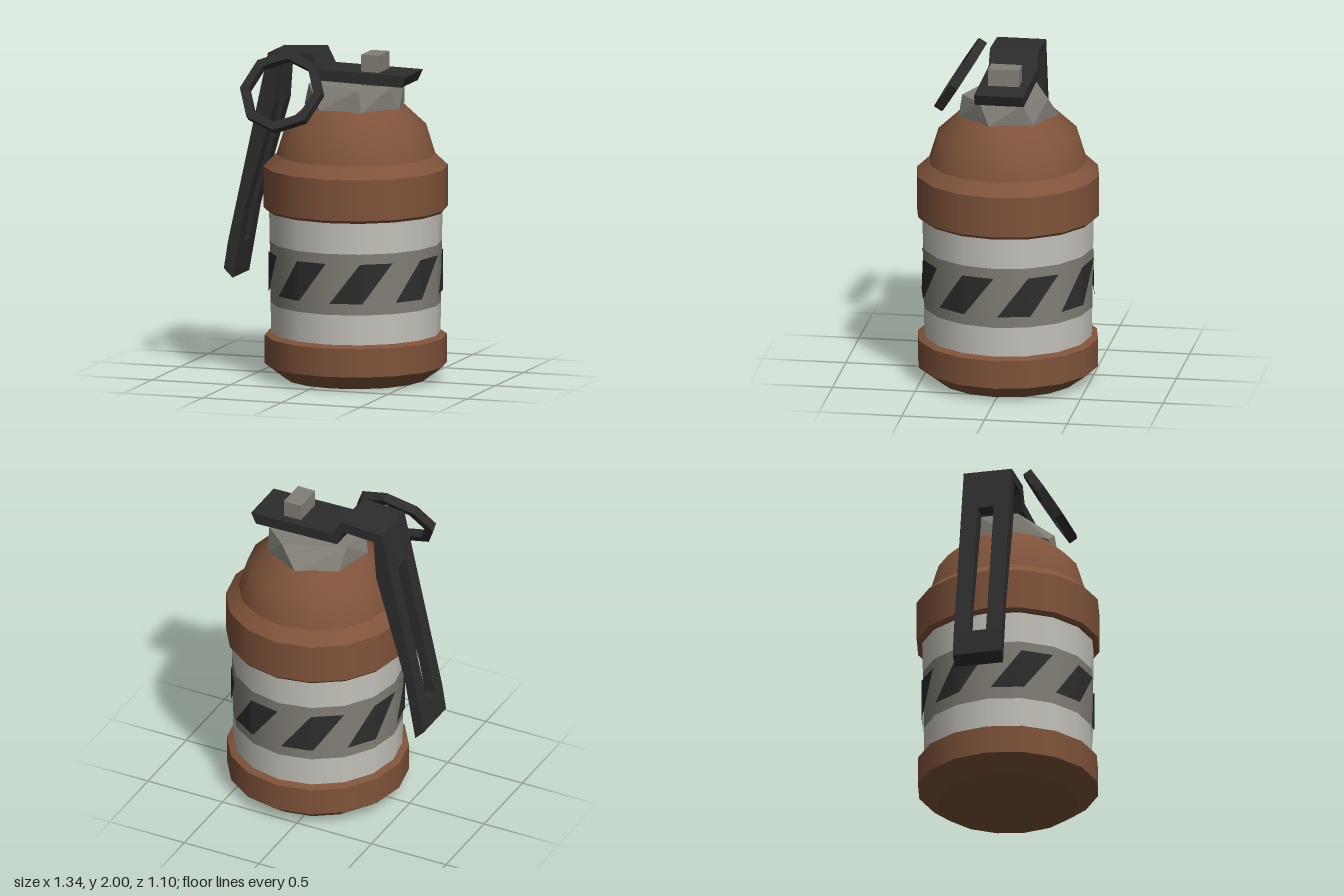
import * as THREE from 'three';
import { mergeGeometries } from 'three/addons/utils/BufferGeometryUtils.js';
import { ConvexGeometry } from 'three/addons/geometries/ConvexGeometry.js';

const SIDES = 16;
const CX = 0.115; // axis of the canister

function material(name, color, side = THREE.FrontSide) {
  const m = new THREE.MeshStandardMaterial({ color, side });
  m.name = name;
  return m;
}

// Lathe from several profiles; normals are smooth within each, sharp between them
function turned(profiles) {
  return mergeGeometries(profiles.map(p =>
    new THREE.LatheGeometry(p.map(([r, y]) => new THREE.Vector2(r, y)), SIDES)));
}

// Splits a profile into separate hard-edged bands
const bands = pts => pts.slice(1).map((p, i) => [pts[i], p]);

// Side profile extruded between two z values
function slab(points, z0, z1) {
  const shape = new THREE.Shape(points.map(([x, y]) => new THREE.Vector2(x, y)));
  return new THREE.ExtrudeGeometry(shape, { depth: z1 - z0, bevelEnabled: false }).translate(0, 0, z0);
}

// Slanted stripe lying on the many-sided wall
function stripe(start) {
  const cols = 24, width = 22, shift = 20.5, y0 = 0.53, y1 = 0.77, rows = 8;
  const g = new THREE.PlaneGeometry(1, 1, cols, rows);
  const pos = g.attributes.position, step = 360 / SIDES;
  const rad = THREE.MathUtils.degToRad;
  for (let i = 0; i < pos.count; i++) {
    const u = pos.getX(i) + 0.5, v = pos.getY(i) + 0.5;
    const deg = start + u * width + v * shift;
    const local = (((deg % step) + step) % step) - step / 2;
    const r = 0.519 * Math.cos(rad(step / 2)) / Math.cos(rad(local)) + 0.004;
    pos.setXYZ(i, r * Math.sin(rad(deg)), y0 + v * (y1 - y0), r * Math.cos(rad(deg)));
  }
  g.computeVertexNormals();
  return g;
}

export function createModel() {
  const group = new THREE.Group();
  const brown = material('brown casing', 0x7f533a);
  const pale = material('pale wall', 0xc4c2ba);
  const grey = material('grey metal', 0x827f76);
  const dark = material('dark metal', 0x2d2d2d);
  const paint = material('dark paint', 0x2d2d2d, THREE.DoubleSide);

  function add(name, geometry, mat, x = 0, y = 0, z = 0) {
    const mesh = new THREE.Mesh(geometry, mat);
    mesh.name = name;
    mesh.position.set(x, y, z);
    group.add(mesh);
    return mesh;
  }

  // Canister
  add('baseCup', turned(bands([[0, 0], [0.425, 0], [0.545, 0.09], [0.545, 0.262], [0.5, 0.282]])), brown, CX);
  add('lowerWall', turned([[[0.506, 0.27], [0.51, 0.46]]]), pale, CX);
  add('paintedBand', turned([[[0.51, 0.46], [0.515, 0.83]]]), grey, CX);
  add('upperWall', turned([[[0.515, 0.83], [0.519, 1.03]]]), pale, CX);
  add('shoulderRing', turned(bands([[0.51, 1.02], [0.535, 1.02], [0.552, 1.038], [0.552, 1.285], [0.475, 1.357]])), brown, CX);
  add('dome', turned([
    [[0.475, 1.357], [0.42, 1.535], [0.29, 1.655]],
    [[0.29, 1.655], [0, 1.655]],
  ]), brown, CX);

  // Slanted marks around the band
  const marks = [];
  for (let k = 0; k < 8; k++) marks.push(stripe(2 + k * 45));
  add('bandStripes', mergeGeometries(marks), paint, CX);

  // Neck: seven-sided foot rising to a six-sided top
  const neck = [];
  for (let i = 0; i < 7; i++) {
    const a = i * Math.PI * 2 / 7;
    neck.push(new THREE.Vector3(CX + 0.308 * Math.sin(a), 1.652, -0.308 * Math.cos(a)));
  }
  for (const s of [-1, 1])
    for (const [x, z] of [[0.375, 0.13], [0.225, 0.26], [-0.14, 0.12]])
      neck.push(new THREE.Vector3(x, 1.785, s * z));
  add('neck', new ConvexGeometry(neck), grey);
  add('pin', new THREE.BoxGeometry(0.115, 0.2, 0.186), grey, 0.238, 1.873, -0.002);

  // Safety lever: two full rails, with the middle left open for the slot
  const head = [
    [0.455, 1.797], [0.487, 1.865], [-0.065, 1.877], [-0.115, 1.975], [-0.39, 1.962],
  ];
  const under = [[-0.335, 1.9], [-0.135, 1.91], [-0.09, 1.812]];
  const rail = [...head, [-0.645, 0.8], [-0.67, 0.64], [-0.615, 0.585], [-0.54, 1.0], [-0.352, 1.65], ...under];
  const top = [...head, [-0.448, 1.7], [-0.349, 1.7], ...under];
  const tip = [[-0.645, 0.8], [-0.67, 0.64], [-0.615, 0.585], [-0.576, 0.8]];
  add('safetyLever', mergeGeometries([
    slab(rail, -0.15, -0.052), slab(rail, 0.048, 0.146),
    slab(top, -0.052, 0.048), slab(tip, -0.052, 0.048),
  ]), dark);

  // Pull ring: eight-sided with a square section, leaning back
  const section = [[0.205, -0.027], [0.26, -0.027], [0.26, 0.027], [0.205, 0.027], [0.205, -0.027]];
  const ringGeometry = new THREE.LatheGeometry(section.map(([r, y]) => new THREE.Vector2(r, y)), 8).toNonIndexed();
  ringGeometry.computeVertexNormals();
  const ring = add('pullRing', ringGeometry, dark, -0.23, 1.765, 0.343);
  ring.rotation.x = 1.01;

  return group;
}
